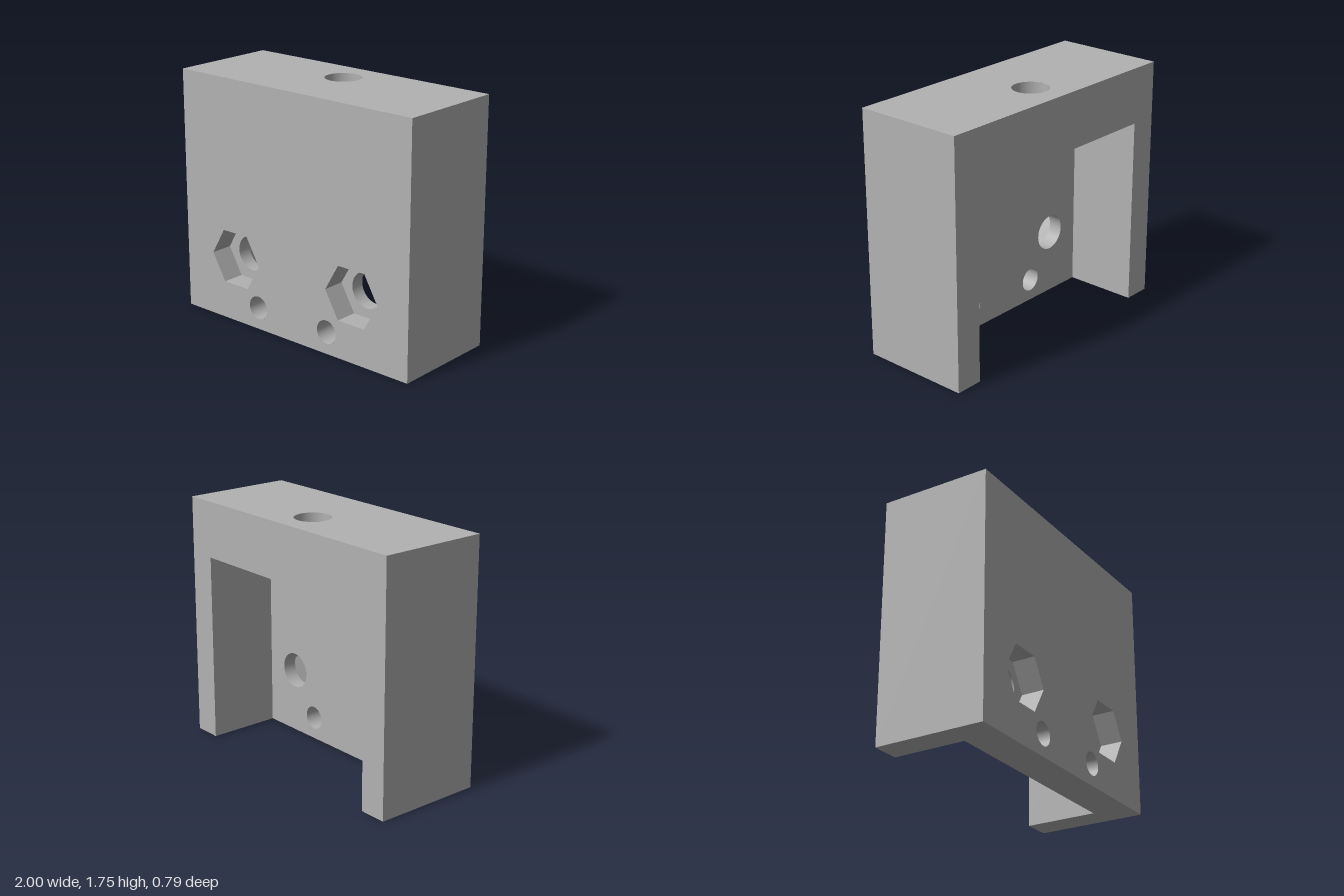
import * as THREE from 'three';

const W = 1, H = 1.745, D = 0.395;            // half width, height, half depth
const IN_X = 0.8, IN_Y = 1.345, IN_Z = 0.13;  // recess half width, ceiling, front wall inner face
const HEX = { x: 0.526, y: 0.462, r: 0.222, bore: 0.127, z: 0.232 };
const PIN = { x: 0.313, y: 0.158, r: 0.083 };
const TOP = { z: -0.133, r: 0.127, wide: 0.218, y: 1.61 };
const SEG = 48;

export function createModel() {
  const group = new THREE.Group();
  const grey = new THREE.MeshStandardMaterial({ color: 0xb2b2b2, side: THREE.DoubleSide });
  grey.name = 'grey';

  const add = (name, geo) => {
    const mesh = new THREE.Mesh(geo, grey);
    mesh.name = name;
    group.add(mesh);
    return mesh;
  };
  const poly = (pts) => new THREE.Shape(pts.map(([x, y]) => new THREE.Vector2(x, y)));
  const rect = (x0, y0, x1, y1) => poly([[x0, y0], [x1, y0], [x1, y1], [x0, y1]]);
  const circle = (x, y, r) => new THREE.Path().absarc(x, y, r, 0, Math.PI * 2, true);
  const hexPoints = (cx, cy, r) => Array.from({ length: 6 }, (_, i) =>
    [cx + r * Math.cos(i * Math.PI / 3), cy + r * Math.sin(i * Math.PI / 3)]);
  const face = (shape, holes = []) => {
    shape.holes.push(...holes);
    return new THREE.ShapeGeometry(shape, SEG);
  };
  // Open wall of a hole running along y, from y0 to y1, facing inward
  const bore = (r, y0, y1, sides = SEG) => {
    let geo = new THREE.CylinderGeometry(r, r, y1 - y0, sides, 1, true, Math.PI / 2);
    geo.translate(0, (y0 + y1) / 2, 0);
    const index = Array.from(geo.index.array);
    geo.setIndex(index.reverse());
    if (sides < 12) {
      geo = geo.toNonIndexed();
      geo.computeVertexNormals();
    } else {
      const n = geo.attributes.normal;
      for (let i = 0; i < n.count; i++) n.setXYZ(i, -n.getX(i), -n.getY(i), -n.getZ(i));
    }
    return geo;
  };
  const boreZ = (r, z0, z1, x, y, sides) =>
    bore(r, z0, z1, sides).rotateX(Math.PI / 2).translate(x, y, 0);

  const sides = [-1, 1];
  const pinHoles = () => sides.map((s) => circle(s * PIN.x, PIN.y, PIN.r));

  // Front wall: outer face with nut pockets, inner face with round holes
  add('frontFace', face(rect(-W, 0, W, H), [
    ...sides.map((s) => poly(hexPoints(s * HEX.x, HEX.y, HEX.r))), ...pinHoles(),
  ]).translate(0, 0, D));
  add('recessBack', face(rect(-IN_X, 0, IN_X, IN_Y), [
    ...sides.map((s) => circle(s * HEX.x, HEX.y, HEX.bore)), ...pinHoles(),
  ]).rotateY(Math.PI).translate(0, 0, IN_Z));

  // Back rim and underside, both open in the middle
  add('backRim', face(poly([[-W, 0], [-IN_X, 0], [-IN_X, IN_Y], [IN_X, IN_Y],
    [IN_X, 0], [W, 0], [W, H], [-W, H]])).rotateY(Math.PI).translate(0, 0, -D));
  add('underside', face(poly([[-W, -D], [-IN_X, -D], [-IN_X, IN_Z], [IN_X, IN_Z],
    [IN_X, -D], [W, -D], [W, D], [-W, D]])).rotateX(Math.PI / 2));

  // Top face, recess ceiling and stepped hole
  add('topFace', face(rect(-W, -D, W, D), [circle(0, -TOP.z, TOP.r)])
    .rotateX(-Math.PI / 2).translate(0, H, 0));
  add('recessCeiling', face(rect(-IN_X, -D, IN_X, IN_Z), [circle(0, TOP.z, TOP.wide)])
    .rotateX(Math.PI / 2).translate(0, IN_Y, 0));
  add('topHoleStep', new THREE.RingGeometry(TOP.r, TOP.wide, SEG)
    .rotateX(Math.PI / 2).translate(0, TOP.y, TOP.z));
  add('topHole', bore(TOP.r, TOP.y, H).translate(0, 0, TOP.z));
  add('topHoleCounterbore', bore(TOP.wide, IN_Y, TOP.y).translate(0, 0, TOP.z));

  for (const s of sides) {
    const side = s > 0 ? 'left' : 'right';
    // Outer and inner side faces
    add(side + 'OuterSide', new THREE.PlaneGeometry(2 * D, H)
      .rotateY(s * Math.PI / 2).translate(s * W, H / 2, 0));
    add(side + 'RecessSide', new THREE.PlaneGeometry(IN_Z + D, IN_Y)
      .rotateY(-s * Math.PI / 2).translate(s * IN_X, IN_Y / 2, (IN_Z - D) / 2));
    // Hexagonal pocket with a round through hole
    add(side + 'NutPocket', boreZ(HEX.r, HEX.z, D, s * HEX.x, HEX.y, 6));
    add(side + 'NutPocketFloor', face(poly(hexPoints(s * HEX.x, HEX.y, HEX.r)),
      [circle(s * HEX.x, HEX.y, HEX.bore)]).translate(0, 0, HEX.z));
    add(side + 'BoltHole', boreZ(HEX.bore, IN_Z, HEX.z, s * HEX.x, HEX.y));
    // Small pin hole
    add(side + 'PinHole', boreZ(PIN.r, IN_Z, D, s * PIN.x, PIN.y));
  }
  return group;
}
